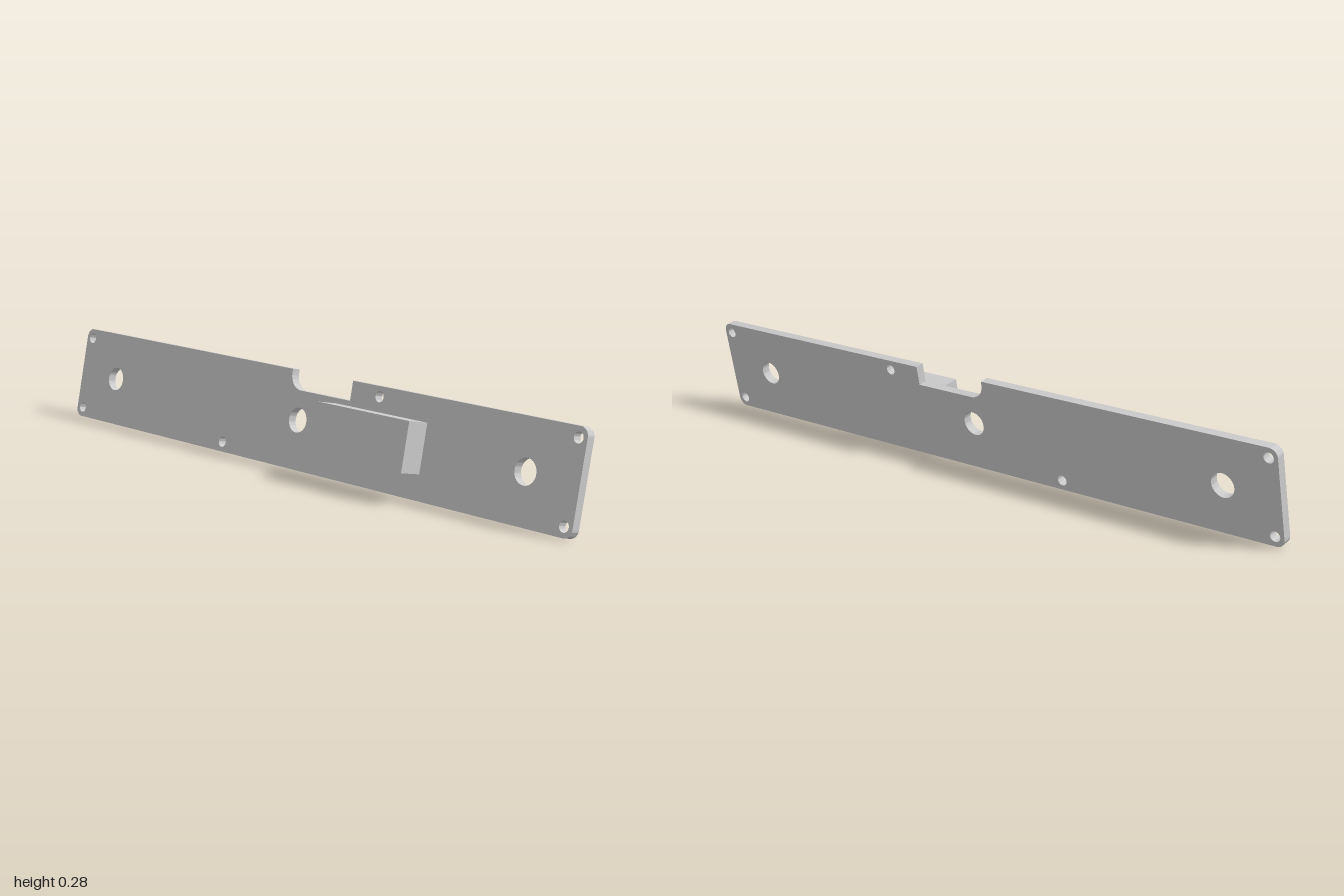
import * as THREE from 'three';
import { toCreasedNormals } from 'three/addons/utils/BufferGeometryUtils.js';

const HALF_W = 1, HALF_H = 0.1385, THICK = 0.026, CORNER = 0.025;

// Outline with rounded corners and a notch in the top edge, filleted on one side
function plateShape() {
  const s = new THREE.Shape();
  const w = HALF_W, h = HALF_H, r = CORNER;
  const notch = { left: -0.05, right: 0.19, floor: 0.083, fillet: 0.045 };
  s.moveTo(-w + r, -h);
  s.lineTo(w - r, -h);
  s.absarc(w - r, -h + r, r, -Math.PI / 2, 0);
  s.lineTo(w, h - r);
  s.absarc(w - r, h - r, r, 0, Math.PI / 2);
  s.lineTo(notch.right, h);
  s.lineTo(notch.right, notch.floor);
  s.lineTo(notch.left + notch.fillet, notch.floor);
  s.absarc(notch.left + notch.fillet, notch.floor + notch.fillet, notch.fillet, -Math.PI / 2, -Math.PI, true);
  s.lineTo(notch.left, h);
  s.lineTo(-w + r, h);
  s.absarc(-w + r, h - r, r, Math.PI / 2, Math.PI);
  s.lineTo(-w, -h + r);
  s.absarc(-w + r, -h + r, r, Math.PI, Math.PI * 1.5);

  const addHole = (x, y, radius) => {
    const p = new THREE.Path();
    p.absarc(x, y, radius, 0, Math.PI * 2, true);
    s.holes.push(p);
  };
  // Large holes along the middle
  for (const x of [-0.828, 0, 0.828]) addHole(x, 0, 0.035);
  // Screw holes: four corners and two along the edges
  for (const x of [-0.973, 0.973]) for (const y of [-0.11, 0.11]) addHole(x, y, 0.015);
  addHole(0.297, 0.11, 0.015);
  addHole(-0.297, -0.11, 0.015);
  return s;
}

export function createModel() {
  const model = new THREE.Group();
  model.name = 'mountingPlateAssembly';
  const material = new THREE.MeshStandardMaterial({ color: 0xcccccc });

  // Flat plate, front face on local z = 0
  const plateGeo = new THREE.ExtrudeGeometry(plateShape(), { depth: THICK, bevelEnabled: false, curveSegments: 20 });
  plateGeo.translate(0, 0, -THICK);
  const plate = new THREE.Mesh(toCreasedNormals(plateGeo, 0.6), material);
  plate.name = 'plate';

  // Rectangular block standing on the front face
  const block = new THREE.Mesh(new THREE.BoxGeometry(0.342, 0.137, 0.07), material);
  block.name = 'frontBlock';
  block.position.set(0.31, 0, 0.035);

  // Whole assembly leans back, with a very slight turn
  const lean = new THREE.Group();
  lean.name = 'leaningAssembly';
  lean.add(plate, block);
  lean.rotation.set(-THREE.MathUtils.degToRad(12), 0.0037, 0);
  lean.position.set(0, 0.141, -0.012);
  model.add(lean);
  return model;
}
